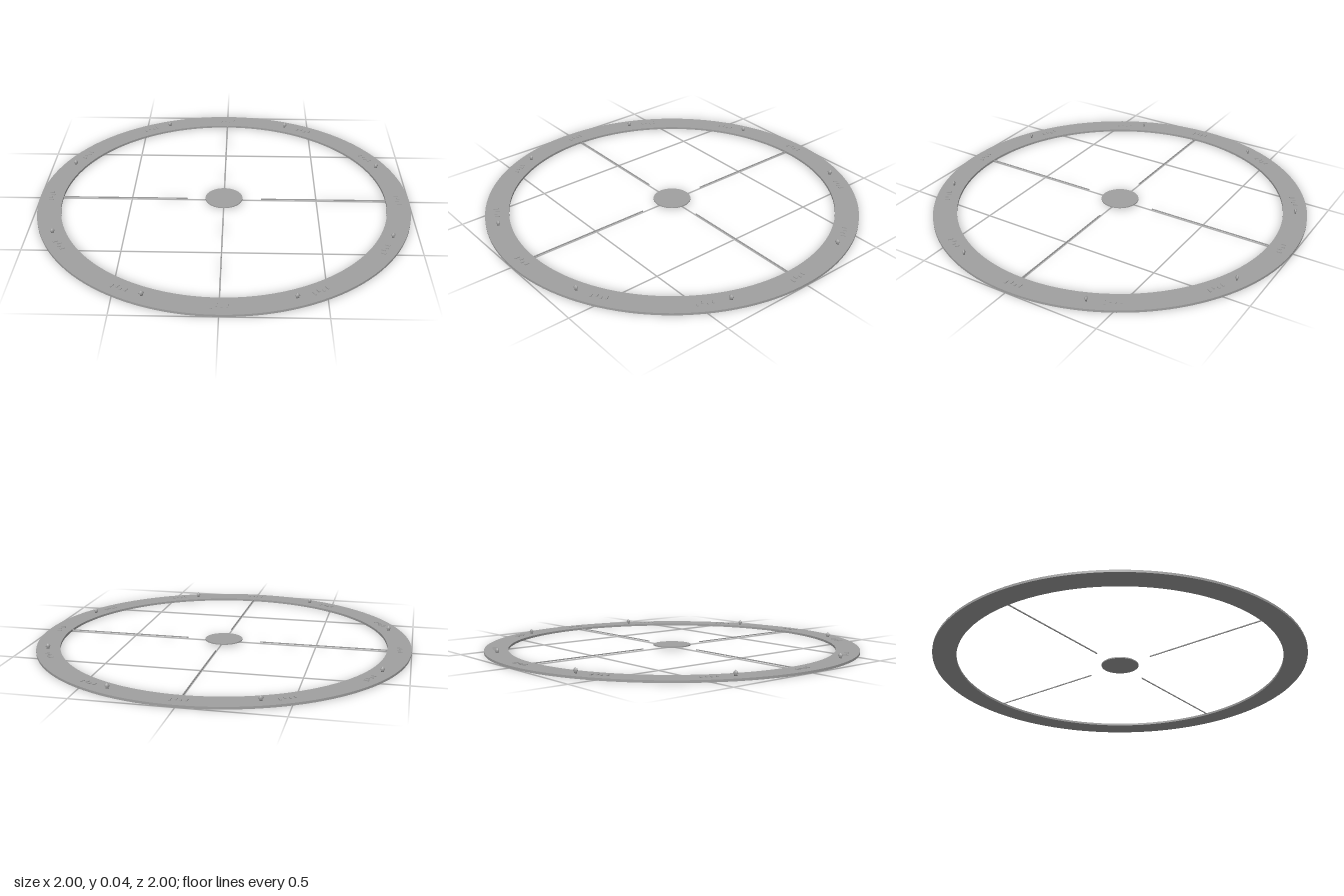
import * as THREE from 'three';

export function createModel() {
  const group = new THREE.Group();
  const grey = new THREE.MeshStandardMaterial({ color: 0xa0a0a0 });
  grey.name = 'stone grey';

  const add = (parent, name, geometry, x = 0, y = 0, z = 0) => {
    const mesh = new THREE.Mesh(geometry, grey);
    mesh.name = name;
    mesh.position.set(x, y, z);
    parent.add(mesh);
    return mesh;
  };

  // Flat outer ring, a closed rectangular section turned about y
  const inner = 0.875, top = 0.012;
  const section = [[inner, 0], [1, 0], [1, top], [inner, top], [inner, 0]];
  // each edge is its own lathe, so corners stay sharp
  const ring = new THREE.Group();
  ring.name = 'ring';
  const faces = ['underside', 'outerEdge', 'topFace', 'innerEdge'];
  faces.forEach((name, i) => {
    const pts = [section[i], section[i + 1]].map(p => new THREE.Vector2(...p));
    add(ring, name, new THREE.LatheGeometry(pts, 128));
  });
  group.add(ring);

  // Central disc
  add(group, 'hub', new THREE.CylinderGeometry(0.1, 0.1, 0.006, 64), 0, 0.013, 0);

  // Four thin spokes, stopping short of the hub
  const spokeGeo = new THREE.BoxGeometry(0.68, 0.005, 0.005);
  for (let i = 0; i < 4; i++) {
    const a = i * Math.PI / 2;
    const spoke = add(group, 'spoke', spokeGeo, 0.54 * Math.cos(a), 0.0085, 0.54 * Math.sin(a));
    spoke.rotation.y = -a;
  }

  // Twelve clusters of low relief marks around the ring
  const bars = [[-0.038, 0.006, 0.026], [-0.012, -0.004, 0.02], [0.012, 0.005, 0.016], [0.038, -0.003, 0.024]];
  for (let i = 0; i < 12; i++) {
    const a = i * Math.PI / 6;
    const marks = new THREE.Group();
    marks.name = 'reliefMarks';
    marks.position.set(0.938 * Math.sin(a), top, 0.938 * Math.cos(a));
    marks.rotation.y = a;
    for (const [x, z, length] of bars) {
      add(marks, 'mark', new THREE.BoxGeometry(0.008, 0.004, length), x, 0.002, z);
    }
    group.add(marks);
  }

  // Eight small upright finials, all turned the same way
  const finialProfile = [[0, 0], [0.007, 0], [0.006, 0.005], [0.011, 0.012], [0.008, 0.02], [0, 0.028]]
    .map(p => new THREE.Vector2(...p));
  const finialGeo = new THREE.LatheGeometry(finialProfile, 12);
  for (let i = 0; i < 8; i++) {
    const a = (i + 0.5) * Math.PI / 4;
    const finial = add(group, 'finial', finialGeo, 0.938 * Math.cos(a), top, 0.938 * Math.sin(a));
    finial.scale.set(1.15, 1, 0.65);
    finial.rotation.y = Math.PI / 7;
  }

  return group;
}
